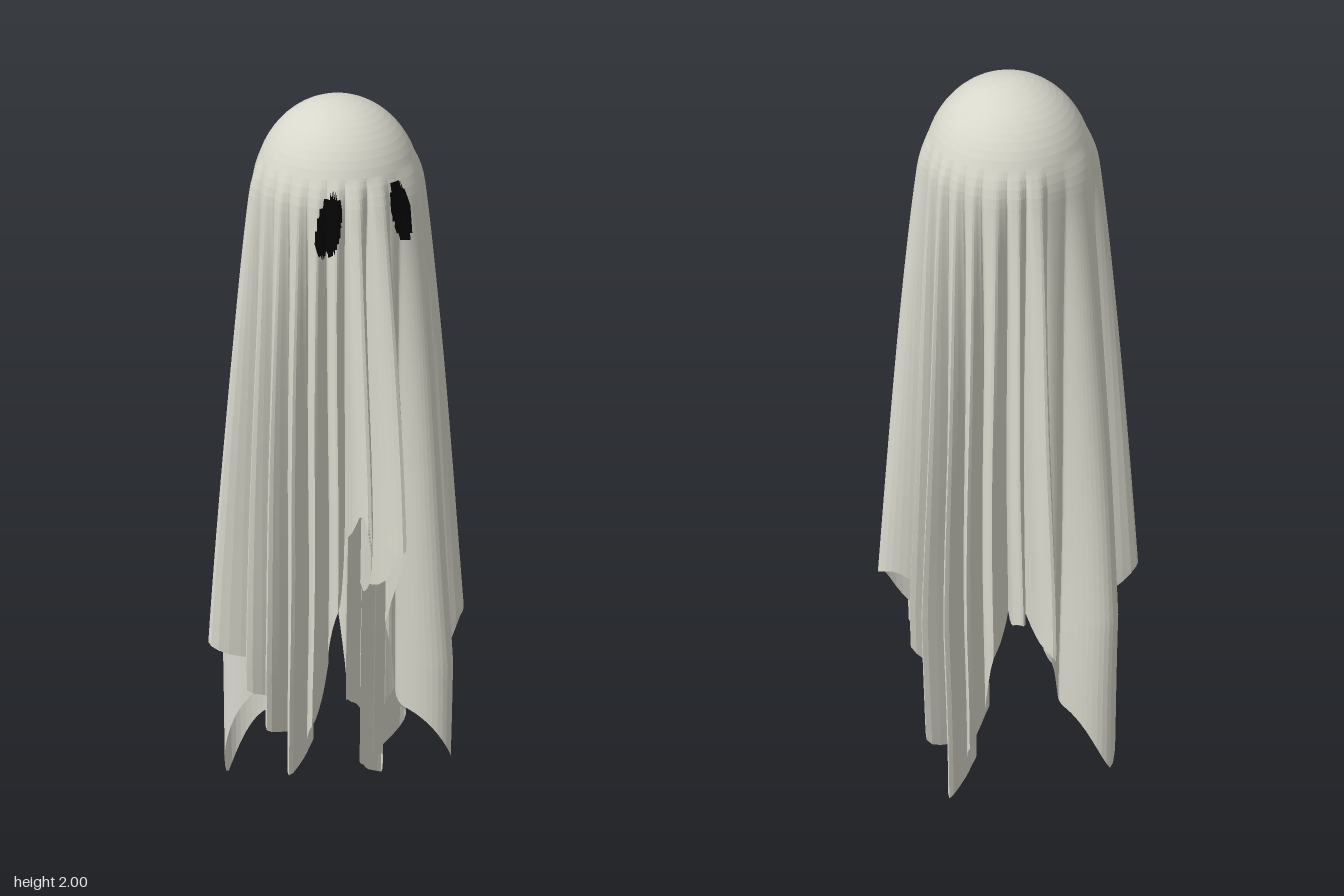
import * as THREE from 'three';

const DEG = Math.PI / 180;
const { lerp, clamp, smoothstep } = THREE.MathUtils;

// Folds round the cloth: start angle (0 = +x, 90 = +z), valley radius there, crest radius
const FOLDS = [
  [-7, 0.18, 0.333], [22, 0.21, 0.212], [32, 0.21, 0.318], [66, 0.2, 0.203], [74, 0.195, 0.322],
  [91, 0.16, 0.312], [107, 0.17, 0.285], [119.5, 0.17, 0.265], [133, 0.17, 0.262], [147, 0.17, 0.27],
  [161, 0.17, 0.272], [178, 0.175, 0.333], [198, 0.21, 0.212], [207, 0.21, 0.32], [242, 0.2, 0.205],
  [256, 0.195, 0.322], [271, 0.18, 0.29], [284, 0.175, 0.283], [301, 0.17, 0.255], [314, 0.17, 0.262],
  [327, 0.17, 0.28], [339, 0.17, 0.277], [353, 0.18, 0],
];

// Height of the hem by angle: four hanging corners with arches between them
const HEM = [
  [-15, 0.45], [0, 0.64], [12, 0.6], [20, 0.45], [30, 0.38], [46, 0.29], [64, 0.45], [72, 0.65],
  [81, 0.97], [92, 0.8], [101, 1.07], [112, 0.8], [124, 0.47], [138, 0.3], [155, 0.43], [172, 0.52],
  [189, 0.6], [205, 0.42], [226, 0.07], [240, 0.27], [250, 0.43], [266, 0.57], [277, 0.65],
  [290, 0.55], [300, 0.28], [308, 0.18], [319, 0], [328, 0.13], [336, 0.24], [345, 0.45], [360, 0.64],
];

function hemAt(deg) {
  const i = Math.max(1, HEM.findIndex(([a]) => a >= deg));
  const [a0, y0] = HEM[i - 1], [a1, y1] = HEM[i];
  const t = clamp((deg - a0) / (a1 - a0), 0, 1);
  return lerp(y0, y1, lerp(t, smoothstep(t, 0, 1), 0.6));
}

// One column of the cloth for each sample across each fold
function makeColumns() {
  const columns = [];
  for (let f = 0; f < FOLDS.length - 1; f++) {
    const [start, valley, crest] = FOLDS[f], [end, nextValley] = FOLDS[f + 1];
    const narrow = end - start < 18 && crest > 0.25;
    const crestHem = Math.max(0.57, hemAt((start + end) / 2));
    const samples = narrow ? 16 : Math.max(6, Math.round((end - start) * 0.8));
    for (let s = 0; s < samples; s++) {
      const p = s / samples;
      // widen the crest and pinch the valley
      const q = p - (0.6 * Math.sin(2 * Math.PI * p)) / (2 * Math.PI);
      const angle = lerp(start, end, q);
      columns.push({
        angle, crestHem, hem: hemAt(angle),
        radius: lerp(lerp(valley, nextValley, p), crest, Math.sin(Math.PI * p) ** 2)
          + (narrow ? 0.007 * Math.sin(6 * Math.PI * p) : 0),
      });
    }
  }
  return columns;
}

const HEAD_ROWS = 16, SKIRT_ROWS = 84, HEAD_Y = 1.78, HEAD_R = 0.195;

function clothPoint(col, row) {
  let y, base;
  if (row <= HEAD_ROWS) {
    const phi = (row / HEAD_ROWS) * Math.PI / 2;
    y = HEAD_Y + (2 - HEAD_Y) * Math.cos(phi);
    base = HEAD_R * Math.sin(phi);
  } else {
    const t = (row - HEAD_ROWS) / SKIRT_ROWS;
    y = lerp(HEAD_Y, col.hem, t);
    base = HEAD_R;
  }
  // folds grow from the brow down to the hem
  const grow = clamp((1.86 - y) / (1.86 - col.crestHem), 0, 1) ** 0.8;
  const r = base + (col.radius - HEAD_R) * grow;
  const a = col.angle * DEG + 0.015 * grow * Math.sin(5 * y + 3 * col.angle * DEG);
  return [r * Math.cos(a), y, r * Math.sin(a)];
}

// Tilted oval eye openings on the front of the head
const EYES = { rightEye: [-0.093, 1.758, -0.2], leftEye: [0.085, 1.772, 0.2] };
function partOf(x, y, z) {
  if (z < 0.08) return 'cloth';
  for (const [name, [cx, cy, tilt]] of Object.entries(EYES)) {
    const dx = x - cx, dy = y - cy;
    const u = dx * Math.cos(tilt) + dy * Math.sin(tilt);
    const v = dy * Math.cos(tilt) - dx * Math.sin(tilt);
    if ((u / 0.025) ** 2 + (v / 0.076) ** 2 < 1) return name;
  }
  return 'cloth';
}

export function createModel() {
  const sheetWhite = new THREE.MeshStandardMaterial({
    name: 'sheetWhite', color: 0xd8d7cb, flatShading: true, side: THREE.DoubleSide,
  });
  const eyeBlack = new THREE.MeshStandardMaterial({
    name: 'eyeBlack', color: 0x050505, flatShading: true, side: THREE.DoubleSide,
  });

  const columns = makeColumns(), n = columns.length, rows = HEAD_ROWS + SKIRT_ROWS;
  const grid = columns.map((c) => Array.from({ length: rows + 1 }, (_, r) => clothPoint(c, r)));
  const parts = { cloth: [], rightEye: [], leftEye: [] };
  const addTriangle = (...pts) => {
    const mid = [0, 1, 2].map((k) => (pts[0][k] + pts[1][k] + pts[2][k]) / 3);
    parts[partOf(...mid)].push(...pts.flat());
  };
  for (let c = 0; c < n; c++) {
    const here = grid[c], next = grid[(c + 1) % n];
    for (let r = 0; r < rows; r++) {
      if (r > 0) addTriangle(here[r], next[r], here[r + 1]);
      addTriangle(next[r], next[r + 1], here[r + 1]);
    }
  }

  const group = new THREE.Group();
  group.name = 'ghost';
  for (const [name, points] of Object.entries(parts)) {
    const geometry = new THREE.BufferGeometry();
    geometry.setAttribute('position', new THREE.Float32BufferAttribute(points, 3));
    geometry.computeVertexNormals();
    const mesh = new THREE.Mesh(geometry, name === 'cloth' ? sheetWhite : eyeBlack);
    mesh.name = name;
    group.add(mesh);
  }
  return group;
}
